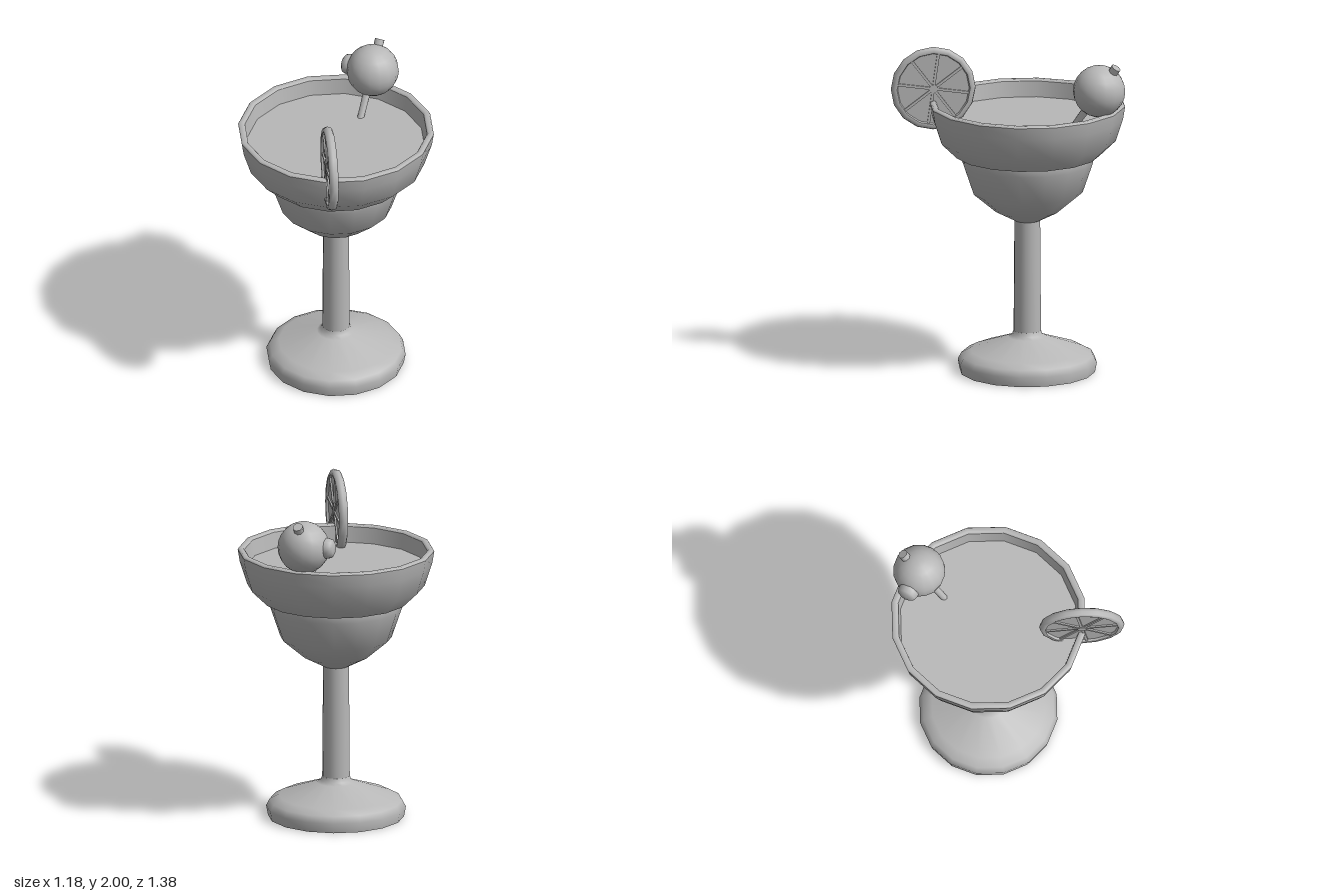
import * as THREE from 'three';

const grey = new THREE.MeshStandardMaterial({ color: 0xb8b8b8 });
grey.name = 'soft grey';

function add(parent, name, geometry) {
  const mesh = new THREE.Mesh(geometry, grey);
  mesh.name = name;
  parent.add(mesh);
  return mesh;
}

// Sixteen-sided turned surface; separate calls keep a crisp edge between them
function turned(parent, name, profile) {
  const points = profile.map(([r, y]) => new THREE.Vector2(r, y));
  return add(parent, name, new THREE.LatheGeometry(points, 16));
}

// Tapered rod between two points
function rod(parent, name, from, to, rFrom, rTo, sides) {
  const dir = to.clone().sub(from);
  const mesh = add(parent, name, new THREE.CylinderGeometry(rTo, rFrom, dir.length(), sides));
  mesh.position.copy(from).addScaledVector(dir, 0.5);
  mesh.quaternion.setFromUnitVectors(new THREE.Vector3(0, 1, 0), dir.normalize());
  return mesh;
}

function createGlass() {
  const glass = new THREE.Group();
  glass.name = 'glass';
  turned(glass, 'footUnderside', [[0, 0], [0.41, 0]]);
  turned(glass, 'foot', [[0.41, 0], [0.421, 0.06], [0.4, 0.1], [0.345, 0.13], [0.115, 0.21], [0.092, 0.225], [0.083, 0.25]]);
  turned(glass, 'stem', [[0.083, 0.25], [0.078, 0.94]]);
  turned(glass, 'lowerBowl', [[0.077, 0.935], [0.2, 1.0], [0.335, 1.115], [0.398, 1.3], [0.396, 1.35]]);
  turned(glass, 'bowlShelf', [[0.38, 1.345], [0.44, 1.348]]);
  turned(glass, 'upperBowl', [[0.44, 1.348], [0.535, 1.44], [0.58, 1.58], [0.592, 1.655]]);
  turned(glass, 'rim', [[0.592, 1.655], [0.585, 1.666], [0.56, 1.666], [0.551, 1.655]]);
  turned(glass, 'innerWall', [[0.551, 1.655], [0.535, 1.55]]);
  turned(glass, 'drink', [[0.54, 1.56], [0, 1.56]]);
  glass.position.z = -0.05;
  return glass;
}

function createCitrusSlice() {
  const slice = new THREE.Group();
  slice.name = 'citrusSlice';
  // Rind ring with a recessed face on each side
  turned(slice, 'rind', [[0.222, -0.026], [0.235, -0.028], [0.25, -0.02], [0.257, 0], [0.25, 0.02], [0.235, 0.028], [0.222, 0.026]]);
  turned(slice, 'rindInnerTop', [[0.222, 0.026], [0.216, 0.012]]);
  turned(slice, 'rindInnerBottom', [[0.216, -0.012], [0.222, -0.026]]);
  turned(slice, 'fleshTop', [[0.218, 0.012], [0, 0.012]]);
  turned(slice, 'fleshBottom', [[0, -0.012], [0.218, -0.012]]);
  add(slice, 'hub', new THREE.CylinderGeometry(0.027, 0.027, 0.05, 10));
  // Membranes between the segments, seen on both faces
  for (let i = 0; i < 8; i++) {
    const membrane = add(slice, 'membrane', new THREE.BoxGeometry(0.205, 0.042, 0.016));
    const a = THREE.MathUtils.degToRad(-98 + 45 * i);
    membrane.position.set(Math.cos(a) * 0.12, 0, -Math.sin(a) * 0.12);
    membrane.rotation.y = a;
  }
  // Stand the slice upright across the rim
  const out = new THREE.Vector3(0.572, 0, 0.82).normalize();
  const normal = new THREE.Vector3(out.z, 0, -out.x);
  const up = new THREE.Vector3(0, 1, 0);
  slice.quaternion.setFromRotationMatrix(new THREE.Matrix4().makeBasis(out, normal, up));
  slice.position.set(0.233, 1.743, 0.468);
  return slice;
}

function createFruitPick() {
  const garnish = new THREE.Group();
  garnish.name = 'fruitOnPick';
  const centre = new THREE.Vector3(-0.01, 1.795, -0.537);
  const fruit = add(garnish, 'fruit', new THREE.SphereGeometry(0.158, 16, 12));
  fruit.position.copy(centre);
  rod(garnish, 'pick', new THREE.Vector3(0, 1.53, -0.35), new THREE.Vector3(-0.021, 1.95, -0.648), 0.021, 0.031, 8);
  // Rounded plug on the side of the fruit
  const plug = turned(garnish, 'plug', [[0.062, 0.125], [0.063, 0.155], [0.055, 0.18], [0.035, 0.192], [0, 0.195]]);
  plug.position.copy(centre);
  plug.quaternion.setFromUnitVectors(new THREE.Vector3(0, 1, 0), new THREE.Vector3(-1, 0.04, 0.12).normalize());
  return garnish;
}

export function createModel() {
  const model = new THREE.Group();
  model.name = 'cocktail';
  model.add(createGlass(), createCitrusSlice(), createFruitPick());
  return model;
}
